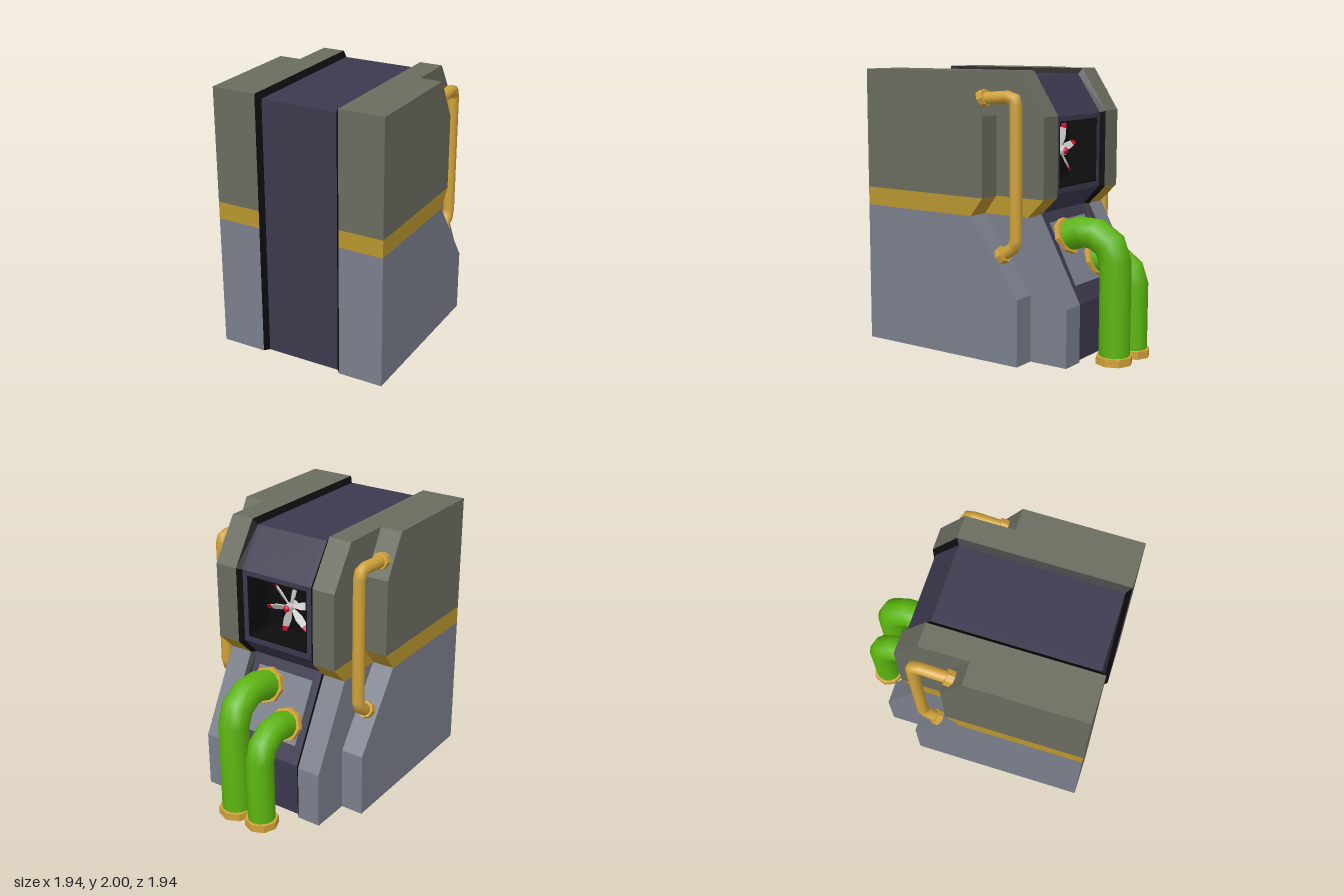
import * as THREE from 'three';

const mat = (color) => new THREE.MeshStandardMaterial({ color });
const flat = (color) => new THREE.MeshStandardMaterial({ color, flatShading: true, side: THREE.DoubleSide });
const OLIVE = mat(0x6a6c5f), STEEL = mat(0x7a7f8b), BAND = mat(0xb8952f), PURPLE = mat(0x3c384e);
const BLACK = flat(0x0c0c0c), GOLD = mat(0xd0a23a), GREEN = mat(0x5cb510);
const SILVER = flat(0xc4c4c4), RED = mat(0xd01030), PINK = flat(0xd070d8);

// Everything is built with x along the body, z across it, then turned 45 degrees.
export function createModel() {
  const model = new THREE.Group();
  model.name = 'generator';
  const body = new THREE.Group();
  body.name = 'body';
  body.rotation.y = Math.PI / 4;
  model.add(body);

  const add = (name, geometry, material, x = 0, y = 0, z = 0) => {
    const mesh = new THREE.Mesh(geometry, material);
    mesh.name = name;
    mesh.position.set(x, y, z);
    body.add(mesh);
    return mesh;
  };

  // Side profile extruded across the body from z0 to z1
  const slab = (name, points, z0, z1, material) => {
    const shape = new THREE.Shape(points.map((p) => new THREE.Vector2(...p)));
    const geometry = new THREE.ExtrudeGeometry(shape, { depth: z1 - z0, bevelEnabled: false });
    return add(name, geometry, material, 0, 0, z0);
  };

  // Mitred tube through points in a plane of constant z
  const pipe = (name, points, z, radius, material, sides = 12) => {
    const pts = points.map((p) => new THREE.Vector2(...p));
    const pos = [], index = [];
    pts.forEach((p, i) => {
      const a = p.clone().sub(pts[Math.max(i - 1, 0)]).normalize();
      const b = pts[Math.min(i + 1, pts.length - 1)].clone().sub(p).normalize();
      const d = a.clone().add(b).normalize();
      const stretch = 1 / Math.max(d.dot(i ? a : b), 0.5);
      for (let j = 0; j < sides; j++) {
        const t = (j / sides) * Math.PI * 2;
        const c = Math.cos(t) * radius * stretch;
        pos.push(p.x - d.y * c, p.y + d.x * c, z + Math.sin(t) * radius);
        if (i) {
          const k = (j + 1) % sides, r0 = (i - 1) * sides, r1 = i * sides;
          index.push(r0 + j, r0 + k, r1 + j, r0 + k, r1 + k, r1 + j);
        }
      }
    });
    const g = new THREE.BufferGeometry();
    g.setAttribute('position', new THREE.Float32BufferAttribute(pos, 3));
    g.setIndex(index);
    g.computeVertexNormals();
    const m = material.clone();
    m.side = THREE.DoubleSide;
    return add(name, g, m);
  };

  // Octagonal collar whose axis points at the given angle in the xy plane
  const collarMat = flat(0xd0a23a);
  const collar = (name, x, y, z, angle, radius, height) => {
    const mesh = add(name, new THREE.CylinderGeometry(radius, radius, height, 8), collarMat, x, y, z);
    mesh.rotation.z = angle - Math.PI / 2;
  };

  // Stepped side walls, each in three coloured layers
  const front = -0.716, base = 0.025;
  const walls = [
    { name: 'outerWall', z: [0.49, 0.655], foot: [0.59, 0.49], waist: 0.207, chest: 0.305, top: 0.14 },
    { name: 'innerWall', z: [0.318, 0.49], foot: [0.877, 0.43], waist: 0.563, chest: 0.69, top: 0.495 },
  ];
  for (const side of [1, -1]) {
    for (const w of walls) {
      const [z0, z1] = side > 0 ? w.z : [-w.z[1], -w.z[0]];
      slab(w.name + 'Lower', [[front, base], [w.foot[0], base], w.foot, [w.waist, 1.02], [front, 1.02]], z0, z1, STEEL);
      slab(w.name + 'Band', [[front, 1.02], [w.waist, 1.02], [w.chest, 1.15], [front, 1.15]], z0, z1, BAND);
      slab(w.name + 'Upper', [[front, 1.15], [w.chest, 1.15], [w.chest, 1.7], [w.top, 2], [front, 2]], z0, z1, OLIVE);
    }
  }

  // Recessed centre panel, with a notch in the middle for the fan
  const rim = [[front, base], [0.877, base], [0.877, 0.43], [0.563, 1.02], [0.69, 1.15], [0.69, 1.7], [0.495, 2], [front, 2]];
  const core = [[-0.68, base], [0.845, base], [0.845, 0.42], [0.535, 1.02], [0.66, 1.16], [0.66, 1.69], [0.475, 1.96], [-0.68, 1.96]];
  const notch = [[0.66, 1.2], [0.42, 1.2], [0.42, 1.655], [0.66, 1.655]];
  slab('centrePanel', [...core.slice(0, 5), ...notch, ...core.slice(5)], -0.25, 0.25, PURPLE);
  slab('centrePanelEdge', core, 0.25, 0.287, PURPLE);
  slab('centrePanelEdge', core, -0.287, -0.25, PURPLE);

  // Black sloping seams between panel and walls
  for (const side of [1, -1]) {
    const pos = [];
    rim.forEach((p, i) => {
      const j = (i + 1) % rim.length;
      const a = [...p, side * 0.318], b = [...rim[j], side * 0.318];
      const c = [...core[j], side * 0.287], d = [...core[i], side * 0.287];
      pos.push(...a, ...b, ...c, ...a, ...c, ...d);
    });
    const g = new THREE.BufferGeometry();
    g.setAttribute('position', new THREE.Float32BufferAttribute(pos, 3));
    g.computeVertexNormals();
    add('seam', g, BLACK);
  }

  // Fan housing lining
  add('fanHousingBack', new THREE.BoxGeometry(0.01, 0.455, 0.5), BLACK, 0.425, 1.4275, 0);
  for (const side of [1, -1]) {
    add('fanHousingSide', new THREE.BoxGeometry(0.235, 0.455, 0.01), BLACK, 0.54, 1.4275, side * 0.245);
    add('fanHousingEnd', new THREE.BoxGeometry(0.235, 0.01, 0.5), BLACK, 0.54, 1.4275 + side * 0.2225, 0);
  }

  // Fan with twisted, red-tipped blades
  const fan = new THREE.Group();
  fan.name = 'fan';
  fan.position.set(0.5, 1.43, 0);
  body.add(fan);
  const part = (parent, name, geometry, material) => {
    const mesh = new THREE.Mesh(geometry, material);
    mesh.name = name;
    parent.add(mesh);
    return mesh;
  };
  part(fan, 'fanShaft', new THREE.CylinderGeometry(0.03, 0.03, 0.1, 10), SILVER).rotation.z = Math.PI / 2;
  part(fan, 'fanHub', new THREE.SphereGeometry(0.026, 12, 8), RED).position.x = 0.045;
  const outline = (pts) => new THREE.ExtrudeGeometry(
    new THREE.Shape(pts.map((p) => new THREE.Vector2(...p))), { depth: 0.008, bevelEnabled: false });
  const bladeGeo = outline([[-0.01, 0.02], [0.01, 0.02], [0.028, 0.1], [0.022, 0.165], [-0.022, 0.165], [-0.028, 0.1]]);
  const tipGeo = outline([[-0.022, 0.165], [0.022, 0.165], [0.014, 0.205], [-0.014, 0.205]]);
  for (let i = 0; i < 6; i++) {
    const arm = new THREE.Group();
    arm.name = 'fanBladeArm';
    arm.rotation.x = -0.3 + (i * Math.PI) / 3;
    const blade = new THREE.Group();
    blade.name = 'fanBlade';
    blade.rotation.y = Math.PI / 2 - 0.6;
    part(blade, 'bladeBody', bladeGeo, SILVER);
    part(blade, 'bladeTip', tipGeo, RED);
    arm.add(blade);
    fan.add(arm);
  }

  // Grey plate on the rear slope behind the hoses
  const plate = add('rearPlate', new THREE.BoxGeometry(0.02, 0.47, 0.46), STEEL, 0.675, 0.74, 0);
  plate.rotation.z = 0.477;

  // Gold side pipes
  for (const side of [1, -1]) {
    const z = side * 0.575;
    pipe('sidePipe', [[0.2, 1.81], [0.46, 1.83], [0.51, 1.815], [0.525, 1.77], [0.525, 0.88], [0.505, 0.82], [0.36, 0.72]], z, 0.043, GOLD);
    collar('sidePipeTopCollar', 0.26, 1.815, z, 0.3, 0.06, 0.055);
    collar('sidePipeBottomCollar', 0.415, 0.76, z, 0.6, 0.06, 0.055);
  }

  // Green hoses with collars and open lower ends
  const hoses = [
    { z: 0.11, r: 0.108, x: 1.03, path: [[0.56, 0.82], [0.76, 0.89], [0.88, 0.885], [0.985, 0.82], [1.03, 0.7]], start: [0.635, 0.845] },
    { z: -0.125, r: 0.098, x: 1.05, path: [[0.66, 0.62], [0.82, 0.68], [0.93, 0.67], [1.015, 0.61], [1.05, 0.51]], start: [0.735, 0.65] },
  ];
  for (const h of hoses) {
    pipe('hose', [...h.path, [h.x, 0.02]], h.z, h.r, GREEN);
    collar('hoseTopCollar', ...h.start, h.z, 0.4, h.r + 0.025, 0.06);
    const ring = [[h.r - 0.02, 0.06], [h.r - 0.02, 0], [h.r + 0.022, 0], [h.r + 0.022, 0.055], [h.r - 0.02, 0.06]];
    add('hoseBottomCollar', new THREE.LatheGeometry(ring.map((p) => new THREE.Vector2(...p)), 8), collarMat, h.x, 0, h.z);
    add('hoseEnd', new THREE.CircleGeometry(h.r - 0.01, 8), PINK, h.x, 0.012, h.z).rotation.x = Math.PI / 2;
  }
  return model;
}
